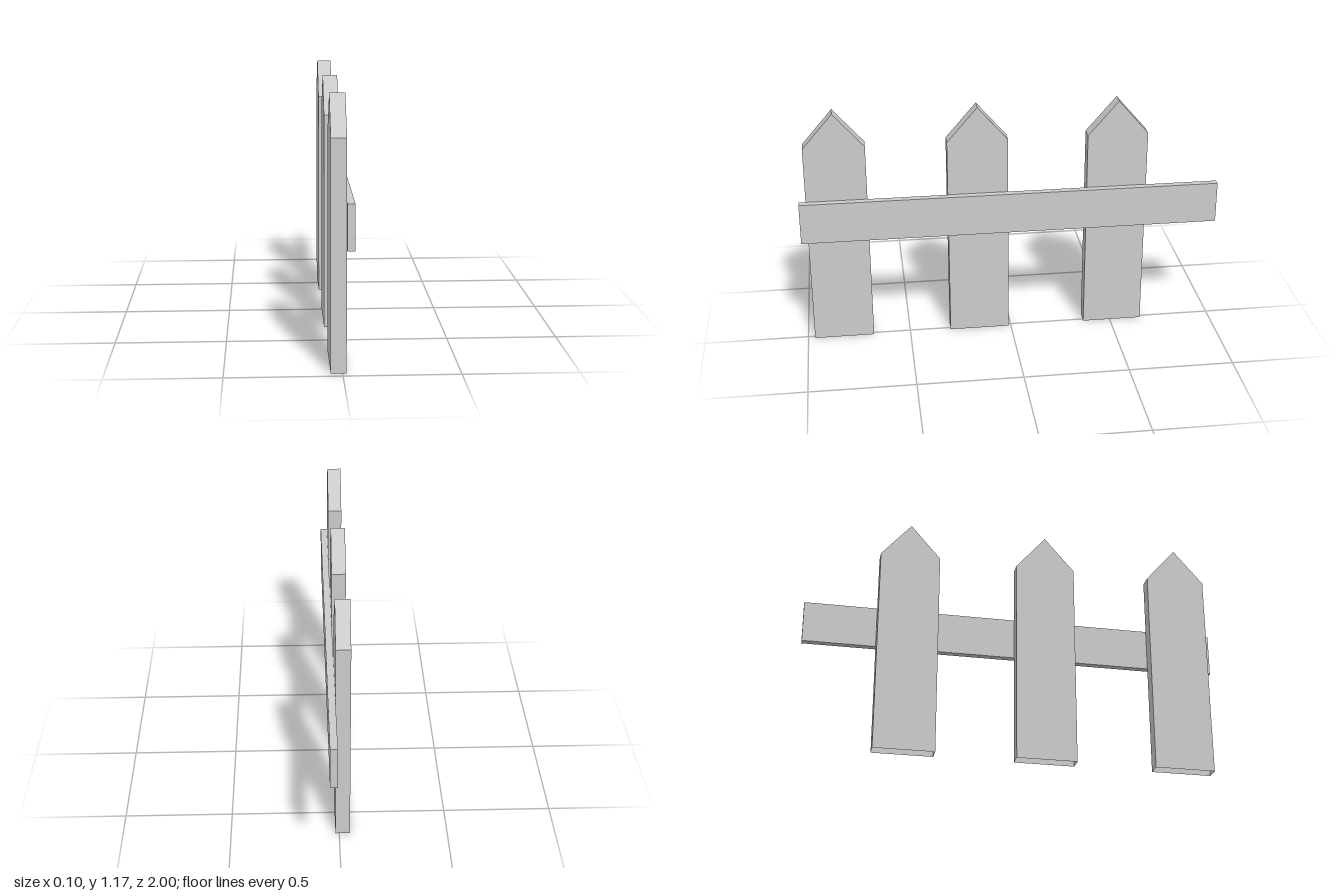
import * as THREE from 'three';

const material = new THREE.MeshStandardMaterial({
  color: 0xcccccc, flatShading: true, side: THREE.DoubleSide,
});

// Pointed board, hollow with an open foot; its thickness runs along +x
function picketGeometry(width, shoulder, peak, depth) {
  const h = width / 2;
  const outline = new THREE.Shape([
    new THREE.Vector2(-h, 0),
    new THREE.Vector2(h, 0),
    new THREE.Vector2(h, shoulder),
    new THREE.Vector2(0, peak),
    new THREE.Vector2(-h, shoulder),
  ]);
  const solid = new THREE.ExtrudeGeometry(outline, { depth, bevelEnabled: false });
  solid.rotateY(Math.PI / 2);

  // Leave out the triangles that lie on the ground
  const p = solid.attributes.position;
  const kept = [];
  for (let i = 0; i < p.count; i += 3) {
    const top = Math.max(p.getY(i), p.getY(i + 1), p.getY(i + 2));
    if (top < 1e-4) continue;
    for (let k = i; k < i + 3; k++) kept.push(p.getX(k), p.getY(k), p.getZ(k));
  }
  const geometry = new THREE.BufferGeometry();
  geometry.setAttribute('position', new THREE.Float32BufferAttribute(kept, 3));
  geometry.computeVertexNormals();
  return geometry;
}

export function createModel() {
  const fence = new THREE.Group();
  fence.name = 'picketFence';

  // Three evenly spaced pickets
  const geometry = picketGeometry(0.288, 1.0, 1.167, 0.067);
  for (let i = 0; i < 3; i++) {
    const picket = new THREE.Mesh(geometry, material);
    picket.name = `picket${i + 1}`;
    picket.position.set(-0.05, 0, 0.823 - i * 0.6665);
    fence.add(picket);
  }

  // Single rail across the pickets' +x side
  const rail = new THREE.Mesh(new THREE.BoxGeometry(0.033, 0.2, 2), material);
  rail.name = 'rail';
  rail.position.set(0.0335, 0.634, 0);
  fence.add(rail);

  return fence;
}
